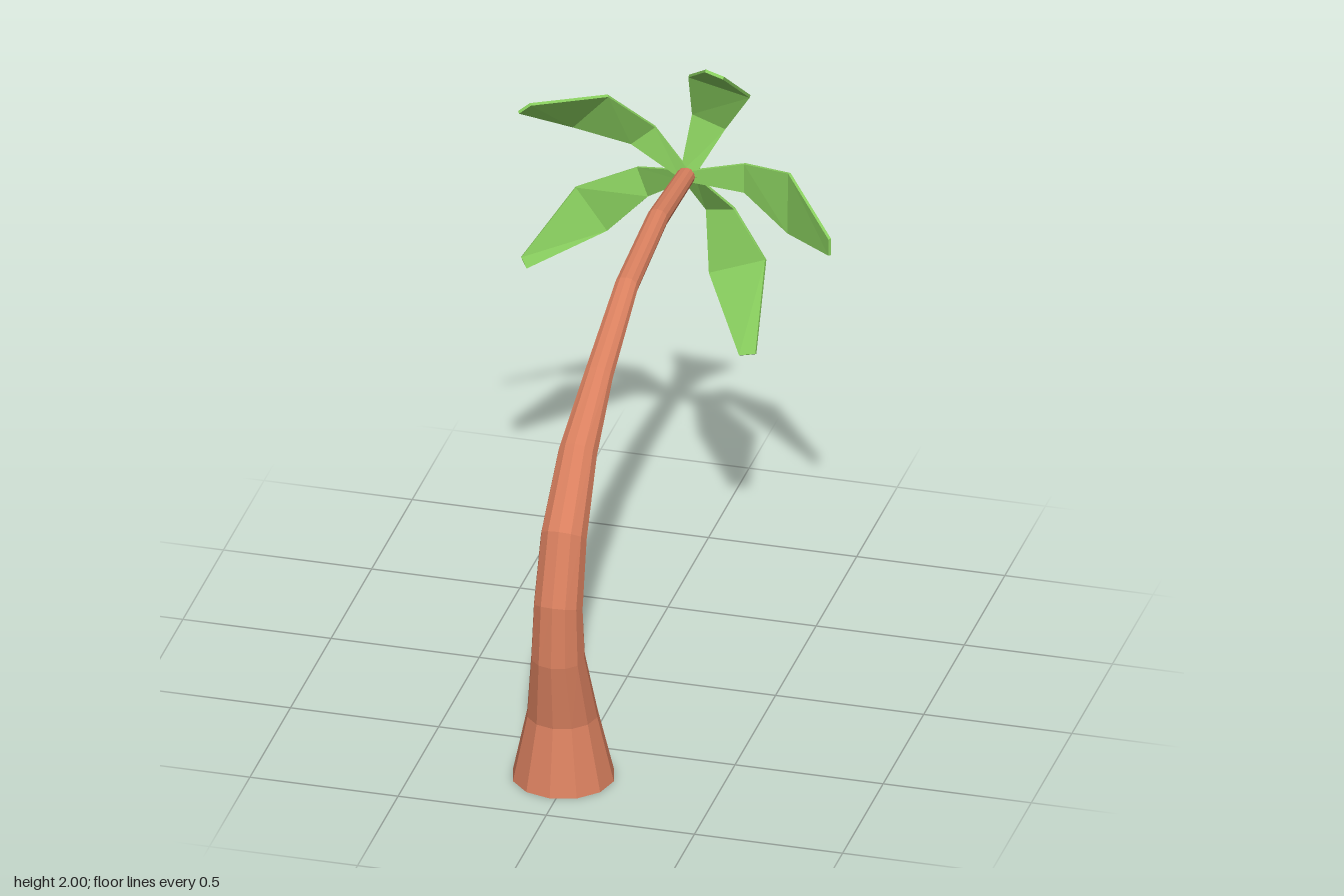
import * as THREE from 'three';

const V = (x, y, z) => new THREE.Vector3(x, y, z);

// Closed, faceted skin over a list of rings (counter-clockwise about the path)
function loft(rings) {
  const pos = [];
  const tri = (...pts) => pts.forEach((p) => pos.push(p.x, p.y, p.z));
  const n = rings[0].length;
  for (let r = 0; r + 1 < rings.length; r++) {
    for (let i = 0; i < n; i++) {
      const j = (i + 1) % n, lo = rings[r], up = rings[r + 1];
      tri(lo[i], lo[j], up[j]);
      tri(lo[i], up[j], up[i]);
    }
  }
  const first = rings[0], last = rings[rings.length - 1];
  for (let i = 1; i + 1 < n; i++) {
    tri(first[0], first[i + 1], first[i]);
    tri(last[0], last[i], last[i + 1]);
  }
  const geo = new THREE.BufferGeometry();
  geo.setAttribute('position', new THREE.Float32BufferAttribute(pos, 3));
  geo.computeVertexNormals();
  return geo;
}

// Trunk stations: outer z, y, inner z, y, half width in x, centre x
const TRUNK = [
  [0.885, 0, 0.545, 0, 0.17, -0.02],
  [0.835, 0.23, 0.6, 0.23, 0.118, -0.023],
  [0.862, 0.465, 0.685, 0.465, 0.09, -0.022],
  [0.848, 0.68, 0.695, 0.62, 0.082, -0.022],
  [0.765, 0.92, 0.64, 0.825, 0.077, -0.022],
  [0.568, 1.145, 0.5, 1.035, 0.065, -0.022],
  [0.3, 1.29, 0.27, 1.21, 0.049, -0.02],
  [-0.045, 1.445, -0.05, 1.375, 0.04, -0.017],
  [-0.42, 1.505, -0.42, 1.435, 0.036, -0.014],
  [-0.76, 1.485, -0.76, 1.425, 0.031, -0.01],
];

function trunkGeometry(sides = 12) {
  return loft(TRUNK.map(([zo, yo, zi, yi, rx, cx]) =>
    Array.from({ length: sides }, (_, i) => {
      const a = (i / sides) * Math.PI * 2, c = Math.cos(a) / 2;
      return V(cx + rx * Math.sin(a), (yo + yi) / 2 + (yo - yi) * c, (zo + zi) / 2 + (zo - zi) * c);
    })));
}

// Fronds: pairs of edge points from the crown to the tip
const FRONDS = {
  frondTop: [
    [-0.03, 1.46, -0.76, 0.015, 1.45, -0.76], [0, 1.665, -0.8, 0.11, 1.62, -0.81],
    [0.01, 1.845, -0.72, 0.21, 1.785, -0.745], [0.13, 2, -0.487, 0.19, 1.98, -0.49]],
  frondLeft: [
    [0, 1.475, -0.76, 0, 1.435, -0.76], [0.18, 1.51, -0.79, 0.18, 1.405, -0.79],
    [0.355, 1.545, -0.7, 0.355, 1.33, -0.69], [0.55, 1.44, -0.485, 0.55, 1.38, -0.485]],
  frondLowerLeft: [
    [0.02, 1.46, -0.76, -0.02, 1.44, -0.76], [0.13, 1.31, -0.845, 0.03, 1.285, -0.865],
    [0.245, 1.155, -0.81, 0.05, 1.07, -0.83], [0.25, 0.88, -0.67, 0.195, 0.867, -0.67]],
  frondLowerRight: [
    [-0.01, 1.435, -0.76, -0.02, 1.475, -0.76], [-0.165, 1.305, -0.865, -0.205, 1.4, -0.877],
    [-0.305, 1.16, -0.862, -0.405, 1.315, -0.843], [-0.535, 1.065, -0.71, -0.555, 1.1, -0.717]],
  frondUpperRight: [
    [-0.03, 1.445, -0.76, 0, 1.475, -0.76], [-0.2, 1.54, -0.775, -0.12, 1.61, -0.78],
    [-0.37, 1.63, -0.675, -0.245, 1.77, -0.655], [-0.485, 1.79, -0.43, -0.445, 1.825, -0.43]],
};

function frondGeometry(stations, thickness = 0.01) {
  const pairs = stations.map((s) => [V(s[0], s[1], s[2]), V(s[3], s[4], s[5])]);
  const mids = pairs.map(([l, r]) => l.clone().add(r).multiplyScalar(0.5));
  return loft(pairs.map(([l, r], i) => {
    const along = mids[Math.min(i + 1, 3)].clone().sub(mids[Math.max(i - 1, 0)]);
    const n = along.cross(r.clone().sub(l)).setLength(thickness / 2);
    return [r.clone().sub(n), r.clone().add(n), l.clone().add(n), l.clone().sub(n)];
  }));
}

export function createModel() {
  const bark = new THREE.MeshStandardMaterial({ color: 0xd9805f, flatShading: true });
  bark.name = 'bark';
  const leaf = new THREE.MeshStandardMaterial({ color: 0x8ad05f, flatShading: true });
  leaf.name = 'leaf';

  const tree = new THREE.Group();
  tree.name = 'palmTree';
  const add = (name, geo, mat) => {
    const mesh = new THREE.Mesh(geo, mat);
    mesh.name = name;
    tree.add(mesh);
  };
  add('trunk', trunkGeometry(), bark);
  for (const [name, stations] of Object.entries(FRONDS)) add(name, frondGeometry(stations), leaf);
  return tree;
}
